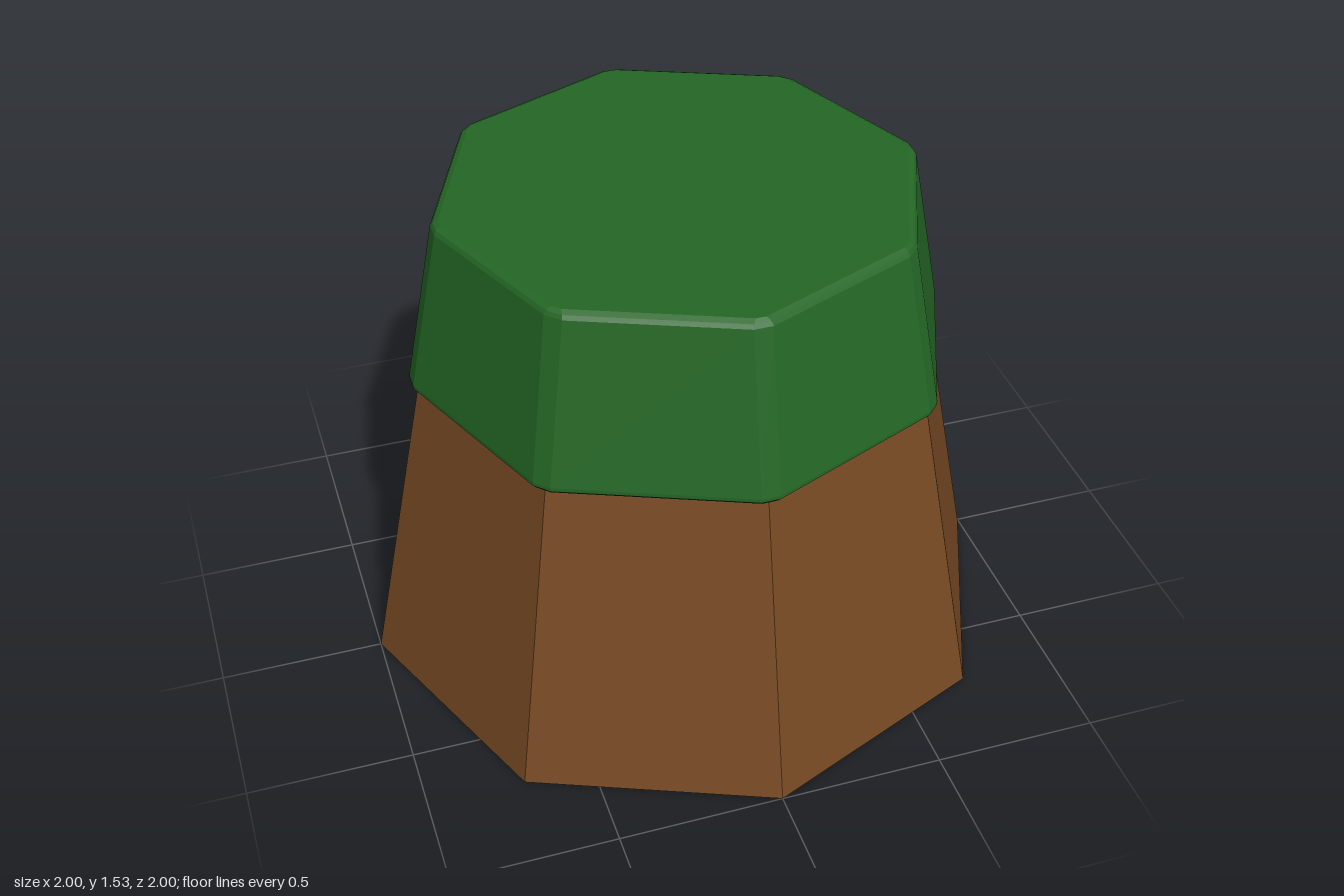
import * as THREE from 'three';

const SIDES = 8;

// Octagon ring at height y with corner radius r, each corner cut by distance d along its edges
function octagonRing(y, r, d) {
  const corner = (i) => {
    const a = (i / SIDES) * Math.PI * 2;
    return new THREE.Vector3(Math.sin(a) * r, y, Math.cos(a) * r);
  };
  const ring = [];
  for (let i = 0; i < SIDES; i++) {
    for (const step of [-1, 1]) {
      const dir = corner(i + step).sub(corner(i)).normalize();
      ring.push(corner(i).addScaledVector(dir, d));
    }
  }
  return ring;
}

// Joins the rings from bottom to top and closes both ends
function loft(rings) {
  const points = [];
  const tri = (...p) => p.forEach((v) => points.push(v.x, v.y, v.z));
  const n = rings[0].length;
  const first = rings[0], last = rings[rings.length - 1];
  const bottom = new THREE.Vector3(0, first[0].y, 0);
  const top = new THREE.Vector3(0, last[0].y, 0);
  for (let j = 0; j < n; j++) {
    const k = (j + 1) % n;
    for (let i = 0; i < rings.length - 1; i++) {
      const a = rings[i], b = rings[i + 1];
      tri(a[j], a[k], b[k]);
      tri(a[j], b[k], b[j]);
    }
    tri(bottom, first[k], first[j]);
    tri(top, last[j], last[k]);
  }
  const geometry = new THREE.BufferGeometry();
  geometry.setAttribute('position', new THREE.Float32BufferAttribute(points, 3));
  geometry.computeVertexNormals();
  return geometry;
}

export function createModel() {
  const group = new THREE.Group();
  const brown = new THREE.MeshStandardMaterial({ color: 0x784a24 });
  brown.name = 'earthBrown';
  const green = new THREE.MeshStandardMaterial({ color: 0x256726 });
  green.name = 'grassGreen';

  // Tapered eight-sided body, running up inside the cap
  const bodyGeometry = new THREE.CylinderGeometry(0.76, 1, 1.2, SIDES).toNonIndexed();
  bodyGeometry.computeVertexNormals();
  const body = new THREE.Mesh(bodyGeometry, brown);
  body.name = 'body';
  body.position.y = 0.6;
  group.add(body);

  // Cap with bevelled rims and corners: height, corner radius, corner cut
  const profile = [
    [0.99, 0.822, 0.025],
    [1.0, 0.832, 0.03],
    [1.012, 0.832, 0.03],
    [1.51, 0.734, 0.03],
    [1.522, 0.726, 0.026],
    [1.53, 0.708, 0.016],
  ];
  const cap = new THREE.Mesh(loft(profile.map((p) => octagonRing(...p))), green);
  cap.name = 'grassCap';
  group.add(cap);

  return group;
}
